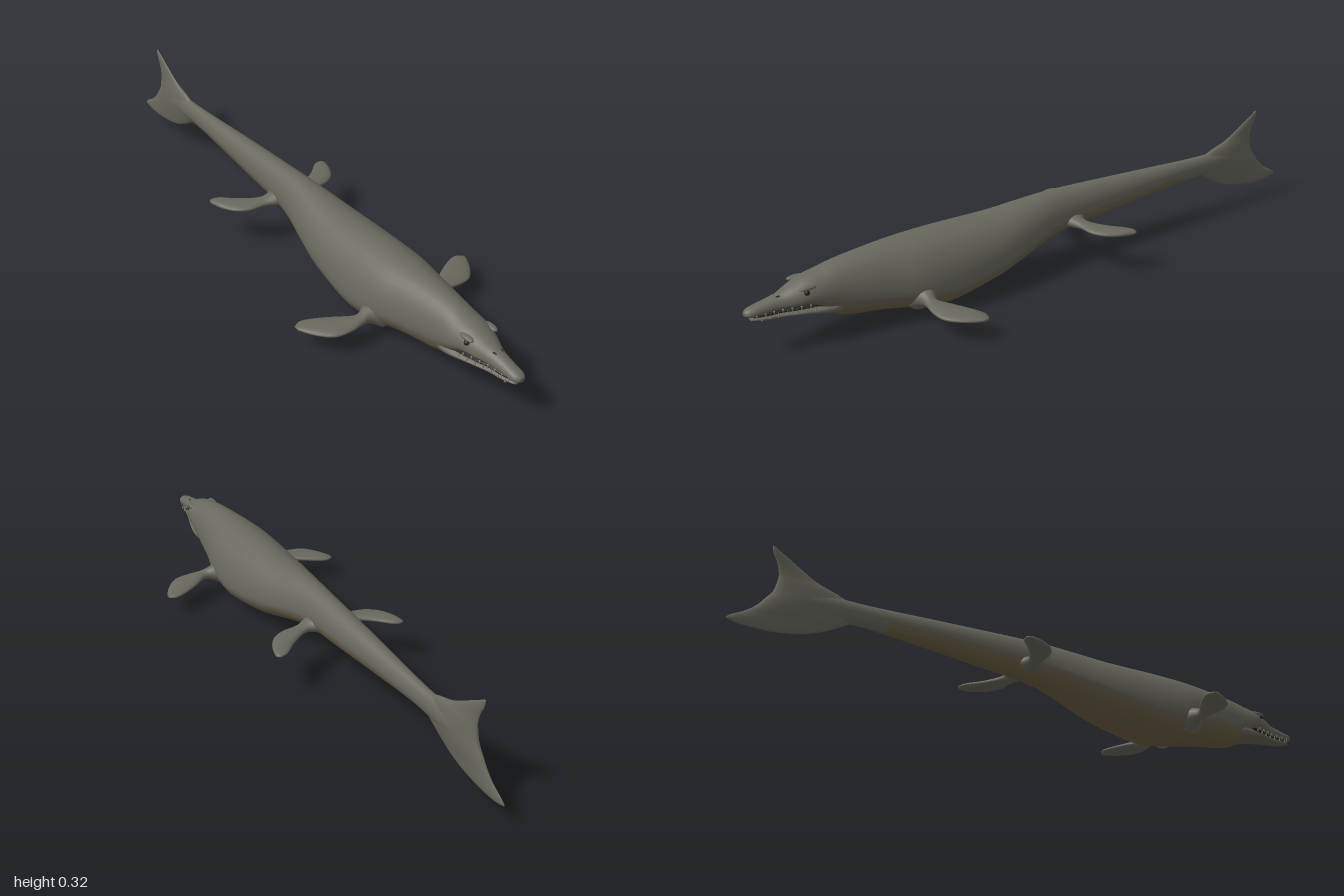
import * as THREE from 'three';

const mat = (name, color) => {
  const m = new THREE.MeshStandardMaterial({ color });
  m.name = name;
  return m;
};

// Smooth (Catmull-Rom) sampling of a table of stations
function sample(rows, t) {
  const f = t * (rows.length - 1);
  const i = Math.min(Math.floor(f), rows.length - 2), u = f - i;
  const at = (k) => rows[Math.max(0, Math.min(rows.length - 1, k))];
  const [a, b, c, d] = [at(i - 1), at(i), at(i + 1), at(i + 2)];
  return b.map((_, n) => 0.5 * (2 * b[n] + (c[n] - a[n]) * u
    + (2 * a[n] - 5 * b[n] + 4 * c[n] - d[n]) * u * u
    + (3 * b[n] - a[n] - 3 * c[n] + d[n]) * u * u * u));
}

// Closed skin through rings; pick(ring, side) chooses the material slot
function loft(rows, steps, sides, point, pick = () => 0, slots = 1) {
  const pos = [], faces = Array.from({ length: slots }, () => []);
  for (let i = 0; i <= steps; i++) {
    const row = sample(rows, i / steps);
    for (let j = 0; j < sides; j++) pos.push(...point(row, (j / sides) * Math.PI * 2));
  }
  for (let i = 0; i < steps; i++) for (let j = 0; j < sides; j++) {
    const a = i * sides + j, b = i * sides + (j + 1) % sides, c = a + sides, d = b + sides;
    faces[pick(sample(rows, (i + 0.5) / steps), ((j + 0.5) / sides) * Math.PI * 2)].push([a, c, b], [b, c, d]);
  }
  for (let j = 1; j < sides - 1; j++) {
    const e = steps * sides;
    faces[0].push([0, j, j + 1], [e, e + j + 1, e + j]);
  }
  // Turn the faces outward if the enclosed volume is negative
  const v = (k) => new THREE.Vector3().fromArray(pos, k * 3);
  let volume = 0;
  faces.flat().forEach(([a, b, c]) => { volume += v(a).dot(v(b).cross(v(c))); });
  const geo = new THREE.BufferGeometry();
  const index = [];
  faces.forEach((list, slot) => {
    geo.addGroup(index.length, list.length * 3, slot);
    list.forEach(([a, b, c]) => index.push(...(volume < 0 ? [a, c, b] : [a, b, c])));
  });
  geo.setAttribute('position', new THREE.Float32BufferAttribute(pos, 3));
  geo.setIndex(index);
  geo.computeVertexNormals();
  return geo;
}

// Body section: z, half width, bottom, top, height fraction of the widest line
const bodyPoint = ([z, w, lo, hi, k], t) => {
  const mid = lo + (hi - lo) * k, s = Math.sin(t);
  return [w * Math.cos(t), mid + s * (s > 0 ? hi - mid : mid - lo), z];
};

const BODY = [
  [1.0, 0.008, 0.127, 0.14, 0.4], [0.985, 0.02, 0.122, 0.148, 0.4],
  [0.94, 0.024, 0.122, 0.158, 0.38], [0.9, 0.03, 0.123, 0.167, 0.35],
  [0.86, 0.045, 0.121, 0.183, 0.35], [0.82, 0.056, 0.115, 0.197, 0.4],
  [0.78, 0.062, 0.085, 0.205, 0.45], [0.72, 0.068, 0.05, 0.218, 0.45],
  [0.6, 0.09, 0.033, 0.228, 0.4], [0.5, 0.112, 0.015, 0.231, 0.37],
  [0.4, 0.116, 0.002, 0.232, 0.36], [0.3, 0.111, 0.016, 0.23, 0.37],
  [0.2, 0.1, 0.035, 0.229, 0.4], [0.1, 0.08, 0.066, 0.235, 0.4],
  [0, 0.06, 0.094, 0.24, 0.42], [-0.1, 0.051, 0.108, 0.237, 0.45],
  [-0.2, 0.046, 0.114, 0.232, 0.48], [-0.4, 0.035, 0.13, 0.222, 0.5],
  [-0.6, 0.023, 0.142, 0.212, 0.5], [-0.75, 0.019, 0.135, 0.21, 0.5],
  [-0.85, 0.012, 0.14, 0.19, 0.5], [-0.88, 0.004, 0.15, 0.17, 0.5],
];
const JAW = [
  [0.985, 0.01, 0.111, 0.117, 0.5], [0.95, 0.02, 0.103, 0.119, 0.5],
  [0.9, 0.028, 0.099, 0.118, 0.5], [0.84, 0.046, 0.094, 0.118, 0.5],
  [0.78, 0.06, 0.08, 0.122, 0.5], [0.74, 0.06, 0.07, 0.13, 0.5],
  [0.7, 0.045, 0.065, 0.13, 0.5],
];
// Flippers: x, leading z, trailing z, y, half thickness
const FRONT = [
  [0.08, 0.55, 0.45, 0.07, 0.042], [0.115, 0.526, 0.473, 0.075, 0.025],
  [0.145, 0.525, 0.485, 0.073, 0.015], [0.19, 0.532, 0.455, 0.071, 0.012],
  [0.24, 0.525, 0.425, 0.069, 0.011], [0.28, 0.485, 0.41, 0.067, 0.009],
  [0.305, 0.44, 0.42, 0.066, 0.004],
];
const REAR = [
  [0.03, -0.03, -0.12, 0.145, 0.028], [0.06, -0.045, -0.1, 0.141, 0.018],
  [0.09, -0.058, -0.105, 0.138, 0.012], [0.14, -0.062, -0.14, 0.136, 0.011],
  [0.18, -0.085, -0.178, 0.135, 0.01], [0.205, -0.125, -0.187, 0.134, 0.008],
  [0.217, -0.165, -0.18, 0.133, 0.003],
];
// Tail fin: y, leading z, trailing z, half thickness
const FIN = [
  [0.32, -0.883, -0.89, 0.002], [0.3, -0.85, -0.887, 0.004], [0.27, -0.8, -0.873, 0.006],
  [0.24, -0.745, -0.866, 0.009], [0.215, -0.67, -0.868, 0.014], [0.18, -0.61, -0.878, 0.018],
  [0.15, -0.63, -0.9, 0.017], [0.125, -0.67, -0.92, 0.014], [0.1, -0.715, -0.95, 0.01],
  [0.08, -0.76, -0.985, 0.008], [0.066, -0.81, -0.998, 0.006], [0.057, -0.87, -0.965, 0.003],
];

export function createModel() {
  const model = new THREE.Group();
  model.name = 'marineReptile';
  const skin = mat('greySkin', 0x69685e);
  const blend = mat('flankSkin', 0x696251);
  const belly = mat('tanBelly', 0x6e6144);
  const dark = mat('darkMouthAndEyes', 0x25241f);
  const ivory = mat('teeth', 0x858070);
  const add = (name, geo, material) => {
    const m = new THREE.Mesh(geo, material);
    m.name = name;
    model.add(m);
    return m;
  };

  // Body, with the pale underside fading out towards snout and tail
  const shade = ([z], t) => {
    const s = Math.sin(t);
    if (z > 0.8 || z < -0.55) return 0;
    return s < -0.45 ? 2 : s < -0.1 ? 1 : 0;
  };
  add('body', loft(BODY, 126, 36, bodyPoint, shade, 3), [skin, blend, belly]);
  add('lowerJaw', loft(JAW, 30, 24, bodyPoint, (r, t) => (Math.sin(t) < -0.4 ? 1 : 0), 2), [skin, blend]);

  // Dark mouth lining between the jaws
  const LINING = [[0.975, 0.008], [0.94, 0.019], [0.9, 0.025], [0.86, 0.039], [0.8, 0.052], [0.76, 0.05]]
    .map(([z, w]) => [z, w, 0.113, 0.127, 0.5]);
  add('mouthLining', loft(LINING, 15, 16, bodyPoint), dark);

  // Paired parts
  const tooth = new THREE.ConeGeometry(0.0028, 0.014, 6);
  for (const side of [1, -1]) {
    const label = side > 0 ? 'left' : 'right';
    const flipper = ([x, lead, trail, y, h], t) => [
      side * x, y + h * Math.sin(t), (lead + trail) / 2 + ((lead - trail) / 2) * Math.cos(t)];
    add(label + 'FrontFlipper', loft(FRONT, 30, 20, flipper), skin);
    add(label + 'RearFlipper', loft(REAR, 30, 20, flipper), skin);

    const eye = add(label + 'Eye', new THREE.SphereGeometry(0.008, 14, 10), dark);
    eye.position.set(side * 0.046, 0.167, 0.835);
    const brow = add(label + 'Brow', new THREE.SphereGeometry(0.012, 14, 10), skin);
    brow.scale.set(0.9, 0.6, 2.2);
    brow.position.set(side * 0.041, 0.178, 0.828);
    const nostril = add(label + 'Nostril', new THREE.SphereGeometry(0.004, 10, 8), dark);
    nostril.scale.set(0.8, 0.5, 2);
    nostril.position.set(side * 0.012, 0.163, 0.905);

    // Tooth rows, upper and lower alternating
    for (let i = 0; i < 14; i++) {
      const z = 0.972 - i * 0.012;
      const w = z > 0.9 ? 0.02 + (0.972 - z) * 0.09 : 0.027 + (0.9 - z) * 0.3;
      const t = add(label + 'Tooth', tooth, ivory);
      t.position.set(side * w, i % 2 ? 0.118 : 0.122, z);
      if (i % 2 === 0) t.rotation.x = Math.PI;
    }
  }

  // Upright two-lobed tail fin
  add('tailFin', loft(FIN, 55, 20, ([y, lead, trail, h], t) => [
    h * Math.sin(t), y, (lead + trail) / 2 + ((lead - trail) / 2) * Math.cos(t)]), skin);
  return model;
}
